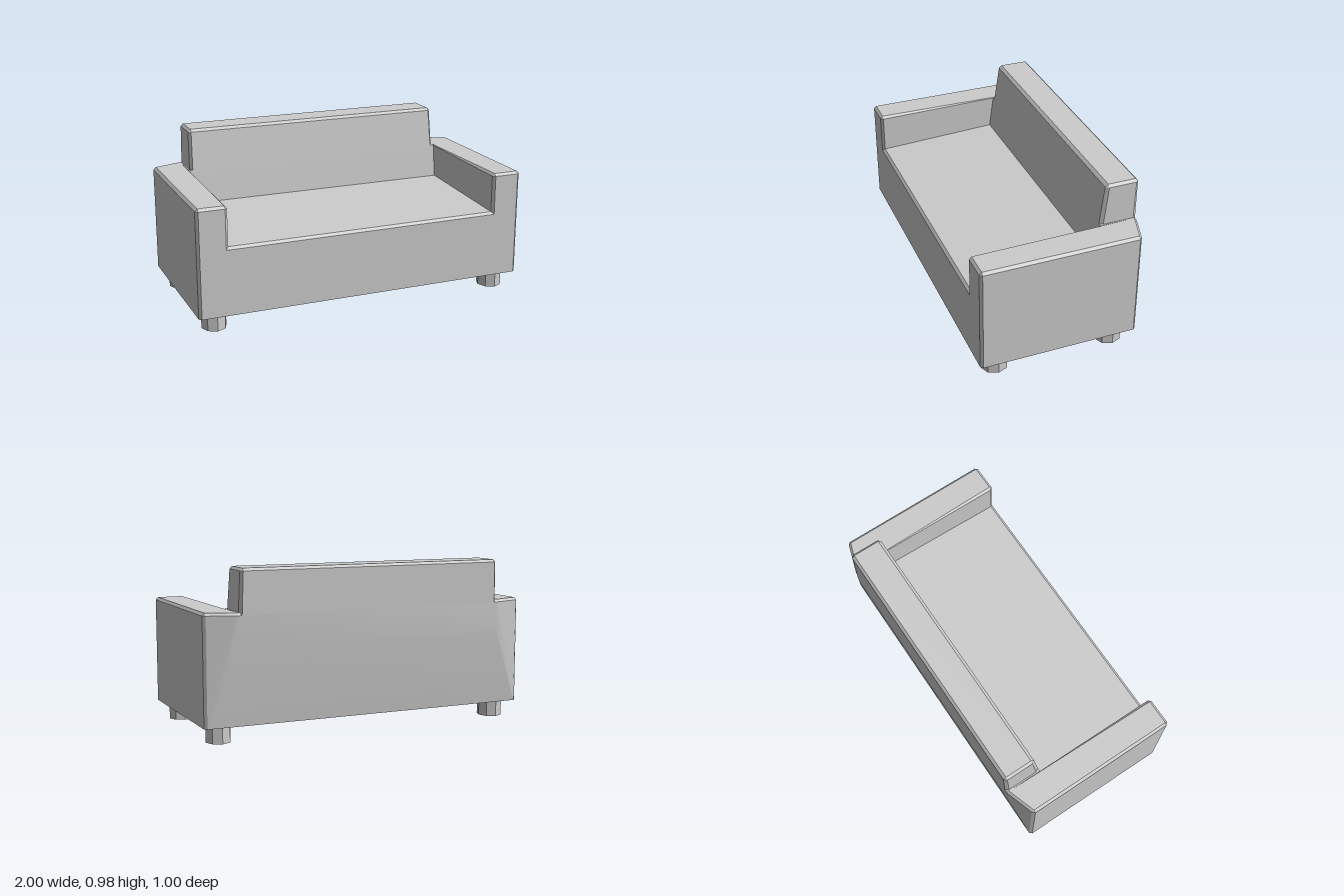
import * as THREE from 'three';
import { mergeGeometries, toCreasedNormals } from 'three/addons/utils/BufferGeometryUtils.js';
import { ConvexGeometry } from 'three/addons/geometries/ConvexGeometry.js';

const material = new THREE.MeshStandardMaterial({ color: 0xcccccc });

// Convex solid from [x, y, z] corners; "both" also adds each corner mirrored in x.
function solid(corners, both) {
  const points = corners.map(c => new THREE.Vector3(...c));
  if (both) points.push(...corners.map(c => new THREE.Vector3(-c[0], c[1], c[2])));
  return new ConvexGeometry(points);
}

// Armrest on one side: chamfered box whose back swells towards the backrest
function armCorners(side) {
  const b = 0.015, inner = 0.82, outer = 1, top = 0.735, bottom = 0.1;
  const corners = [];
  for (const y of [bottom, top - b]) {
    corners.push(
      [inner, y, 0.5 - b], [inner + b, y, 0.5], [outer - b, y, 0.5], [outer, y, 0.5 - b],
      [outer, y, -0.425], [outer - b, y, -0.44]);
  }
  corners.push(
    [inner + b, top, 0.5 - b], [outer - b, top, 0.5 - b], [outer - b, top, -0.425], [inner, top, -0.479],
    [inner, bottom, -0.44], [inner, 0.547, -0.49], [inner, top - b, -0.494], [inner + b, top, -0.475]);
  return corners.map(([x, y, z]) => [x * side, y, z]);
}

// Seat block: gently rising top, chamfered front edge
const seatCorners = [
  [0.835, 0.1, 0.5], [0.835, 0.485, 0.5], [0.835, 0.5, 0.485],
  [0.82, 0.547, -0.49], [0.82, 0.1, -0.44],
];

// Part of the backrest between the arms
const lowerBackCorners = [
  [0.82, 0.53, -0.245], [0.82, 0.735, -0.272], [0.82, 0.735, -0.479],
  [0.82, 0.72, -0.494], [0.82, 0.547, -0.49], [0.82, 0.53, -0.48],
];

// Part of the backrest above the arms, chamfered on every edge
const upperBackCorners = [
  [0.797, 0.72, -0.27], [0.812, 0.72, -0.29], [0.812, 0.72, -0.474], [0.797, 0.72, -0.494],
  [0.79, 0.96, -0.302], [0.805, 0.96, -0.32], [0.805, 0.96, -0.484], [0.79, 0.96, -0.5],
  [0.79, 0.975, -0.32], [0.79, 0.975, -0.484],
];

export function createModel() {
  const sofa = new THREE.Group();
  sofa.name = 'sofa';

  // Upholstered body, merged so that the gently bent back shades smoothly
  const body = new THREE.Mesh(toCreasedNormals(mergeGeometries([
    solid(armCorners(1)), solid(armCorners(-1)),
    solid(seatCorners, true), solid(lowerBackCorners, true), solid(upperBackCorners, true),
  ]), 0.25), material);
  body.name = 'upholsteredBody';
  sofa.add(body);

  // Eight-sided feet
  const legGeometry = new THREE.CylinderGeometry(1, 1, 0.1, 8).toNonIndexed();
  legGeometry.scale(0.073, 1, 0.079);
  legGeometry.computeVertexNormals();
  for (const x of [-0.885, 0.885]) {
    for (const z of [0.38, -0.32]) {
      const leg = new THREE.Mesh(legGeometry, material);
      leg.name = (z > 0 ? 'front' : 'back') + (x > 0 ? 'Left' : 'Right') + 'Leg';
      leg.position.set(x, 0.05, z);
      sofa.add(leg);
    }
  }
  return sofa;
}
